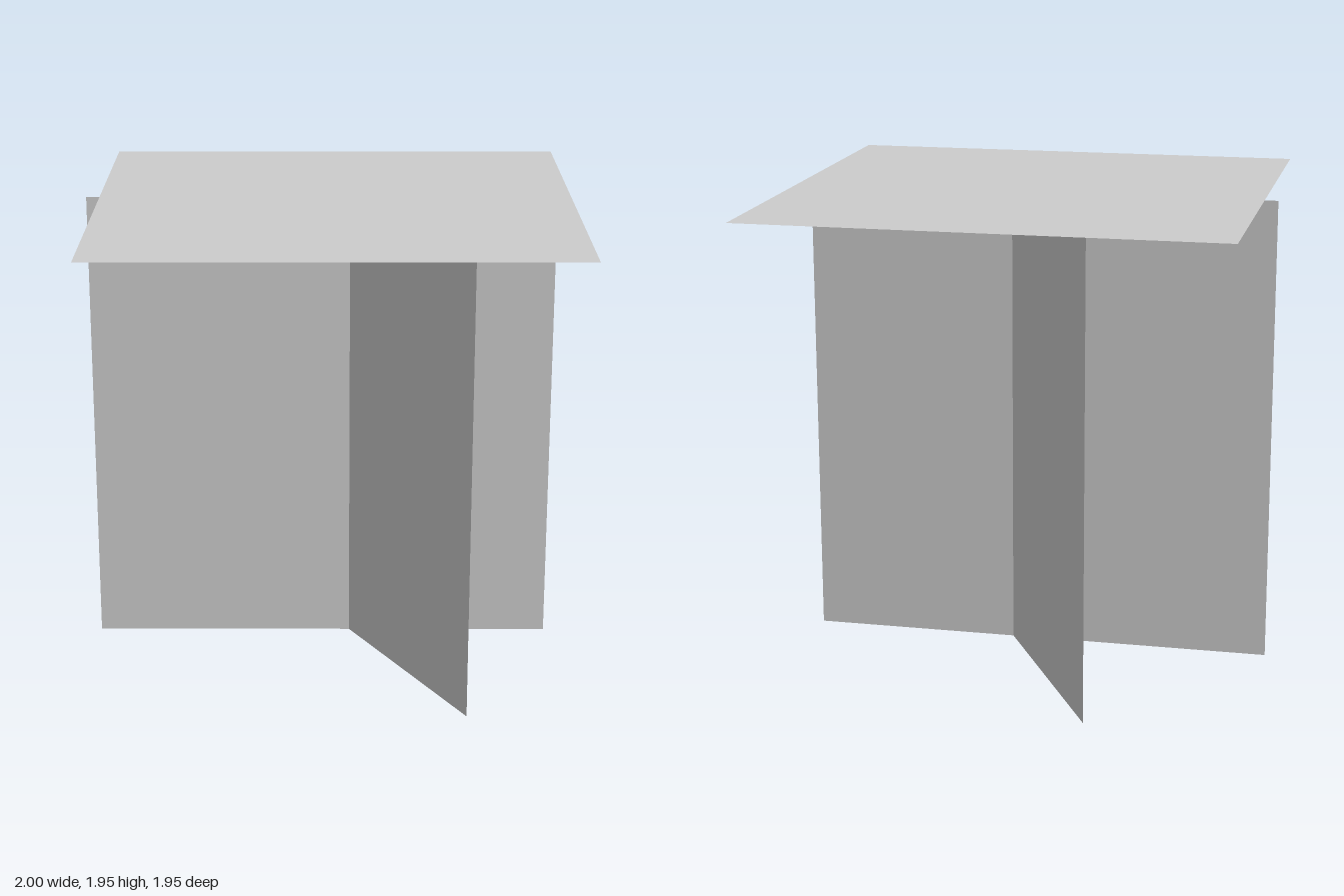
import * as THREE from 'three';

const SIZE = 1.945; // every sheet is the same square

export function createModel() {
  const group = new THREE.Group();
  const grey = new THREE.MeshStandardMaterial({ color: 0xcccccc, side: THREE.DoubleSide });
  grey.name = 'light grey';

  const addSheet = (name, x, y, z, rotX, rotY) => {
    const mesh = new THREE.Mesh(new THREE.PlaneGeometry(SIZE, SIZE), grey);
    mesh.name = name;
    mesh.position.set(x, y, z);
    mesh.rotation.set(rotX, rotY, 0);
    group.add(mesh);
  };

  // Horizontal top resting on two crossed upright sheets
  addSheet('topSheet', 0.0275, SIZE, 0, -Math.PI / 2, 0);
  addSheet('straightUpright', -0.0275, SIZE / 2, -0.075, 0, 0);
  // Oblique upright: its front edge swings towards +x
  addSheet('obliqueUpright', 0.09, SIZE / 2, -0.073, 0, Math.atan2(-1.705, 0.936));

  return group;
}
